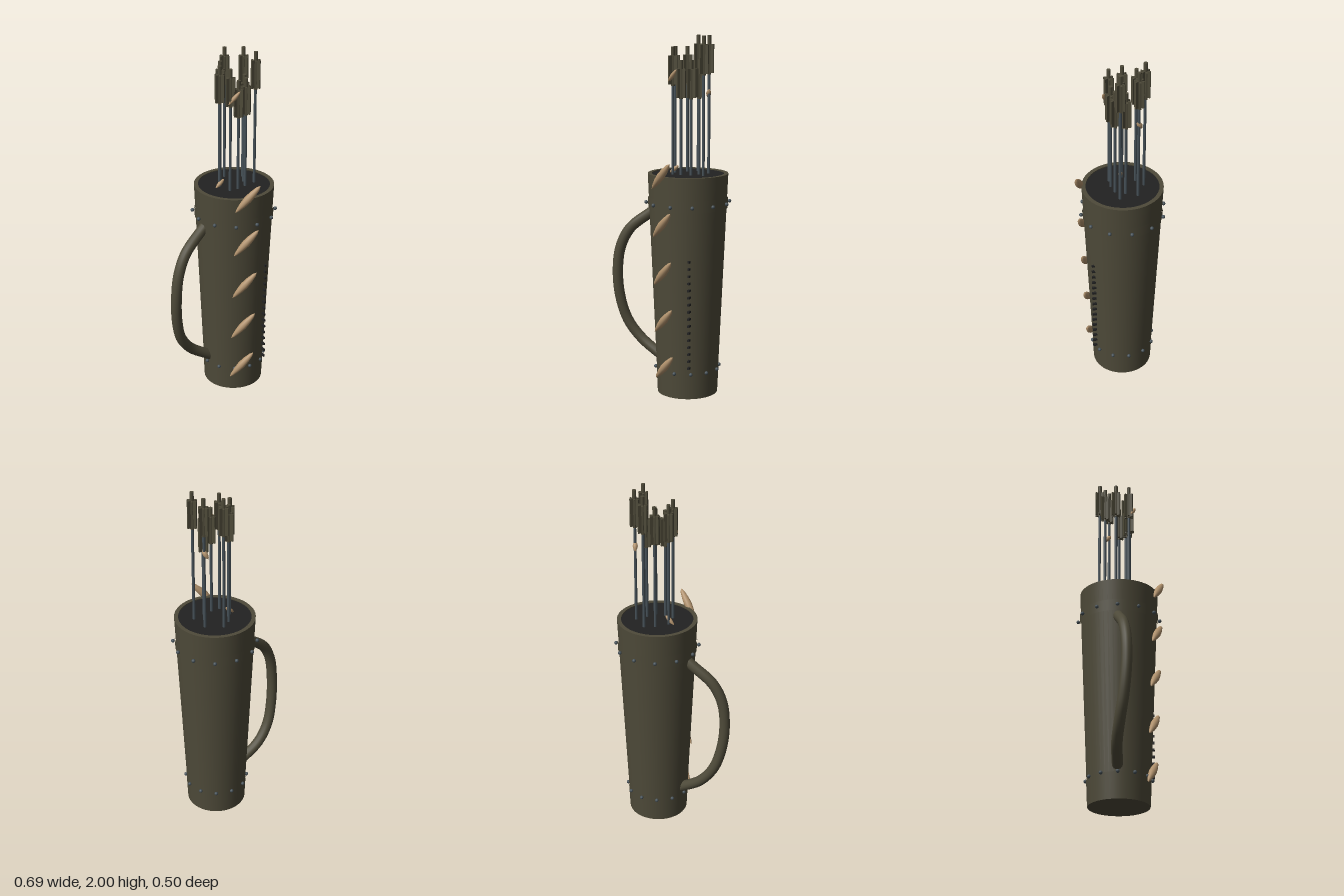
import * as THREE from 'three';

const CX = 0.1, CZ = -0.01;
const mat = (name, color) => Object.assign(new THREE.MeshStandardMaterial({ color }), { name });
const leather = mat('olive leather', 0x4e4a39);
const dark = mat('dark lining', 0x222222);
const steel = mat('blue steel', 0x465158);
const tan = mat('tan lacing', 0xb0916c);

function add(parent, name, geometry, material, x = 0, y = 0, z = 0) {
  const m = new THREE.Mesh(geometry, material);
  m.name = name;
  m.position.set(x, y, z);
  parent.add(m);
  return m;
}

// radius of the tapered body at height y
const bodyR = y => 0.168 + 0.045 * y;

function ring(parent, name, y0, y1, extra) {
  const g = new THREE.CylinderGeometry(bodyR(y1) + extra, bodyR(y0) + extra, y1 - y0, 48, 1, true);
  add(parent, name, g, leather, CX, (y0 + y1) / 2, CZ);
}

// pointed lacing piece, lying along a direction
function lace(parent, center, dir, half, width) {
  const pts = [[0, -1], [0.42, -0.8], [0.8, -0.4], [1, 0], [0.85, 0.4], [0.5, 0.8], [0, 1]]
    .map(([r, y]) => new THREE.Vector2(r * width, y * half));
  const m = add(parent, 'lacing', new THREE.LatheGeometry(pts, 14), tan, ...center);
  m.quaternion.setFromUnitVectors(new THREE.Vector3(0, 1, 0), new THREE.Vector3(...dir).normalize());
}

function arrow(x, z, top) {
  const g = new THREE.Group();
  g.name = 'arrow';
  g.position.set(x, 0, z);
  const len = top - 0.03 - 1.2;
  add(g, 'shaft', new THREE.CylinderGeometry(0.008, 0.008, len, 10), steel, 0, 1.2 + len / 2, 0);
  add(g, 'nock', new THREE.CylinderGeometry(0.011, 0.011, 0.21, 10), leather, 0, top - 0.105, 0);
  for (let i = 0; i < 3; i++) {
    const vane = add(g, 'fletching', new THREE.BoxGeometry(0.054, 0.155, 0.009), leather, 0, top - 0.125, 0);
    vane.rotation.y = i * Math.PI / 3;
  }
  return g;
}

export function createModel() {
  const root = new THREE.Group();
  root.name = 'quiver';

  // tapered body with a flat base, rolled over the rim
  const profile = [[0, 0], [0.168, 0], [0.168, 0], [0.2225, 1.25], [0.2225, 1.25], [0.2, 1.25], [0.2, 1.25], [0.2, 1.22]];
  for (const [a, b] of [[0, 1], [2, 3], [4, 5], [6, 7]]) {
    const pts = [profile[a], profile[b]].map(p => new THREE.Vector2(...p));
    add(root, 'body', new THREE.LatheGeometry(pts, 48), leather, CX, 0, CZ);
  }
  const lining = add(root, 'lining', new THREE.CircleGeometry(0.2, 48), dark, CX, 1.245, CZ);
  lining.rotation.x = -Math.PI / 2;

  // bands and rivets
  ring(root, 'upperBand', 1.06, 1.125, 0.004);
  ring(root, 'lowerBand', 0, 0.145, 0.0015);
  const rivet = new THREE.SphereGeometry(0.0105, 12, 8);
  for (const [y, r] of [[1.09, 0.232], [0.145, 0.18]]) {
    for (let i = 0; i < 12; i++) {
      const a = i * Math.PI / 6;
      add(root, 'rivet', rivet, steel, CX + r * Math.sin(a), y, CZ + r * Math.cos(a));
    }
  }

  // row of stitches
  for (let i = 0; i < 16; i++) {
    add(root, 'stitch', new THREE.BoxGeometry(0.011, 0.012, 0.024), dark, 0.19, 0.19 + i * 0.04, 0.172);
  }

  // curved handle
  const path = new THREE.CatmullRomCurve3([
    [-0.06, 1.06, -0.012], [-0.13, 1.01, 0], [-0.24, 0.92, 0.027], [-0.295, 0.81, 0.042], [-0.314, 0.66, 0.044],
    [-0.303, 0.5, 0.03], [-0.265, 0.37, 0.008], [-0.19, 0.27, -0.01], [-0.06, 0.18, -0.012]
  ].map(p => new THREE.Vector3(...p)));
  add(root, 'handle', new THREE.TubeGeometry(path, 48, 0.03, 14), leather);

  // lacing down the front, plus loose ends among the arrows
  [[0.175, 0.172], [0.445, 0.184], [0.715, 0.194], [0.985, 0.206], [1.255, 0.217]].forEach(([y, z]) =>
    lace(root, [0.04, y, z], [0.13, 0.15, 0.05], 0.102, 0.022));
  lace(root, [0.043, 1.785, 0.075], [0.06, 0.07, 0.02], 0.048, 0.012);
  lace(root, [0.192, 1.685, -0.078], [0.02, 0.05, 0.03], 0.03, 0.014);
  lace(root, [0.012, 1.265, -0.018], [0.05, 0.04, 0], 0.035, 0.012);

  // arrows: x, z, top height
  [[0.11, -0.125, 2], [0.06, -0.09, 1.94], [0.197, -0.072, 2], [0.015, -0.025, 1.94], [0.165, -0.012, 1.87],
    [0.035, 0.05, 1.94], [0.085, 0.052, 1.87], [0.14, 0.04, 1.87], [0.208, 0.028, 2]
  ].forEach(a => root.add(arrow(...a)));
  return root;
}
